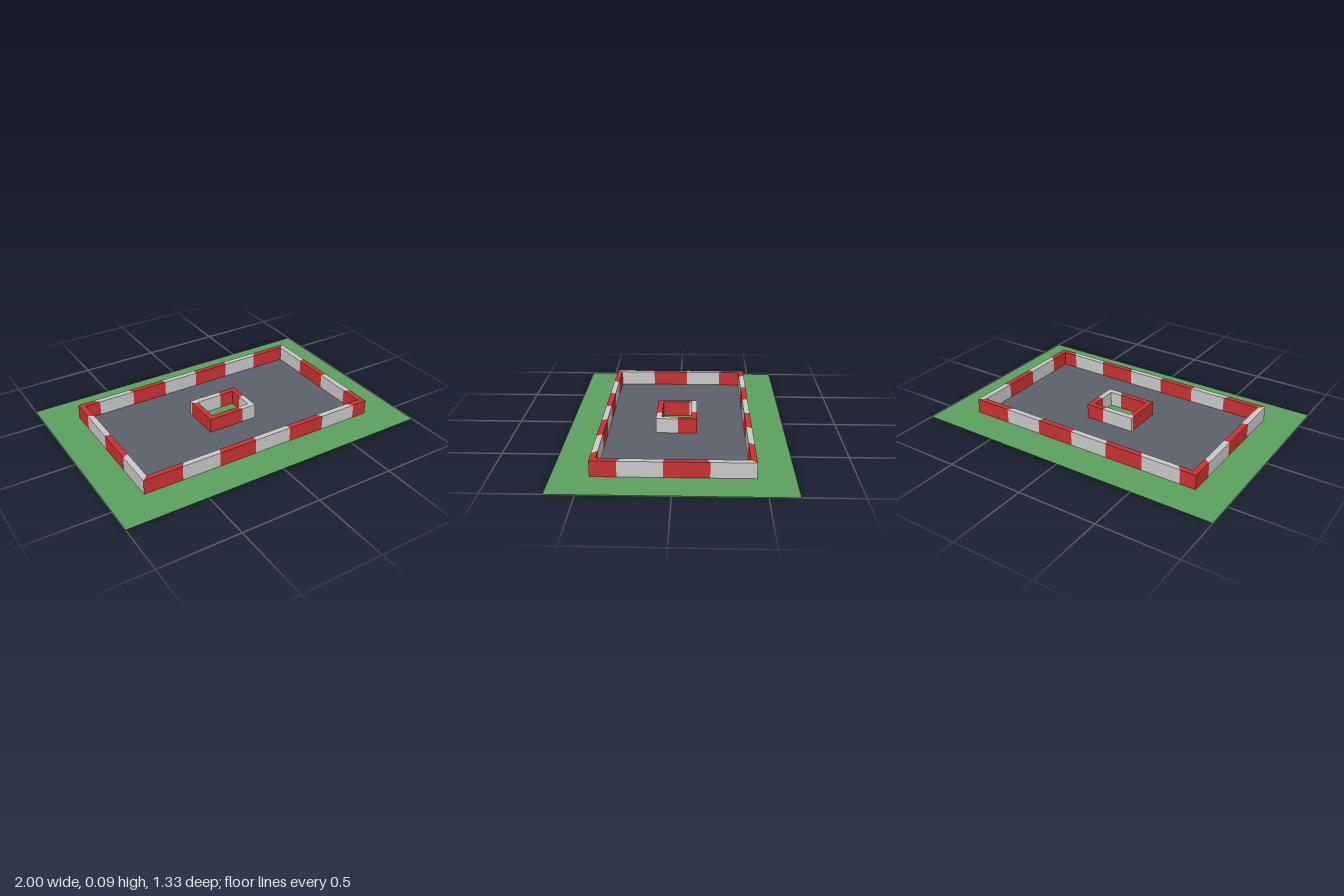
import * as THREE from 'three';

const mat = (name, color, side = THREE.FrontSide) => {
  const m = new THREE.MeshStandardMaterial({ color, side });
  m.name = name;
  return m;
};

// Corners of a rectangle, from front left, counterclockwise seen from above
const corners = (hx, hz) => [[-hx, hz], [hx, hz], [hx, -hz], [-hx, -hz]];

// Flat ground sheet on y = 0, with an optional rectangular hole
function sheet(name, half, hole, material) {
  const points = ([hx, hz]) => corners(hx, hz).map(([x, z]) => new THREE.Vector2(x, -z));
  const shape = new THREE.Shape(points(half));
  if (hole) shape.holes.push(new THREE.Path(points(hole).reverse()));
  const mesh = new THREE.Mesh(new THREE.ShapeGeometry(shape).rotateX(-Math.PI / 2), material);
  mesh.name = name;
  return mesh;
}

// Rectangular wall ring; stripes are measured along the track edge and stretched to both faces
function stripedWall(name, outer, inner, edge, count, height, materials) {
  const out = corners(...outer), inn = corners(...inner), ref = corners(...edge);
  const sideLength = (i) => {
    const a = ref[i], b = ref[(i + 1) % 4];
    return Math.hypot(b[0] - a[0], b[1] - a[1]);
  };
  const stripe = 2 * (sideLength(0) + sideLength(1)) / count;
  const positions = [[], []];
  const quad = (list, a, b, c, d) => list.push(...a, ...b, ...c, ...a, ...c, ...d);

  let start = 0;
  for (let i = 0; i < 4; i++) {
    const length = sideLength(i), end = start + length, j = (i + 1) % 4;
    const at = (loop, s, y) => {
      const t = (s - start) / length;
      return [THREE.MathUtils.lerp(loop[i][0], loop[j][0], t), y,
        THREE.MathUtils.lerp(loop[i][1], loop[j][1], t)];
    };
    for (let s = start; s < end - 1e-6;) {
      const index = Math.floor(s / stripe + 1e-6);
      const e = Math.min(end, (index + 1) * stripe);
      const list = positions[index % 2];
      quad(list, at(out, s, 0), at(out, e, 0), at(out, e, height), at(out, s, height));
      quad(list, at(out, s, height), at(out, e, height), at(inn, e, height), at(inn, s, height));
      quad(list, at(inn, e, 0), at(inn, s, 0), at(inn, s, height), at(inn, e, height));
      s = e;
    }
    start = end;
  }

  const group = new THREE.Group();
  group.name = name;
  positions.forEach((list, k) => {
    const geometry = new THREE.BufferGeometry();
    geometry.setAttribute('position', new THREE.Float32BufferAttribute(list, 3));
    geometry.computeVertexNormals();
    const mesh = new THREE.Mesh(geometry, materials[k]);
    mesh.name = name + (k ? 'GreyStripes' : 'RedStripes');
    group.add(mesh);
  });
  return group;
}

export function createModel() {
  const grass = mat('grass green', 0x5ca05f, THREE.DoubleSide);
  const asphalt = mat('asphalt grey', 0x5b606c, THREE.DoubleSide);
  const stripes = [
    mat('barrier red', 0xc83232, THREE.DoubleSide),
    mat('barrier light grey', 0xc8c8c8, THREE.DoubleSide),
  ];

  const trackOuter = [0.75, 0.42], trackInner = [0.164, 0.126];
  const height = 0.093;
  const model = new THREE.Group();
  model.name = 'raceTrack';
  model.add(
    // Ground
    sheet('outerGrass', [1, 0.667], trackOuter, grass),
    sheet('trackSurface', trackOuter, trackInner, asphalt),
    sheet('infieldGrass', trackInner, null, grass),
    // Barriers
    stripedWall('outerBarrier', [0.787, 0.455], trackOuter, trackOuter, 20, height, stripes),
    stripedWall('innerBarrier', trackInner, [0.13, 0.09], trackInner, 5, height, stripes),
  );
  return model;
}
